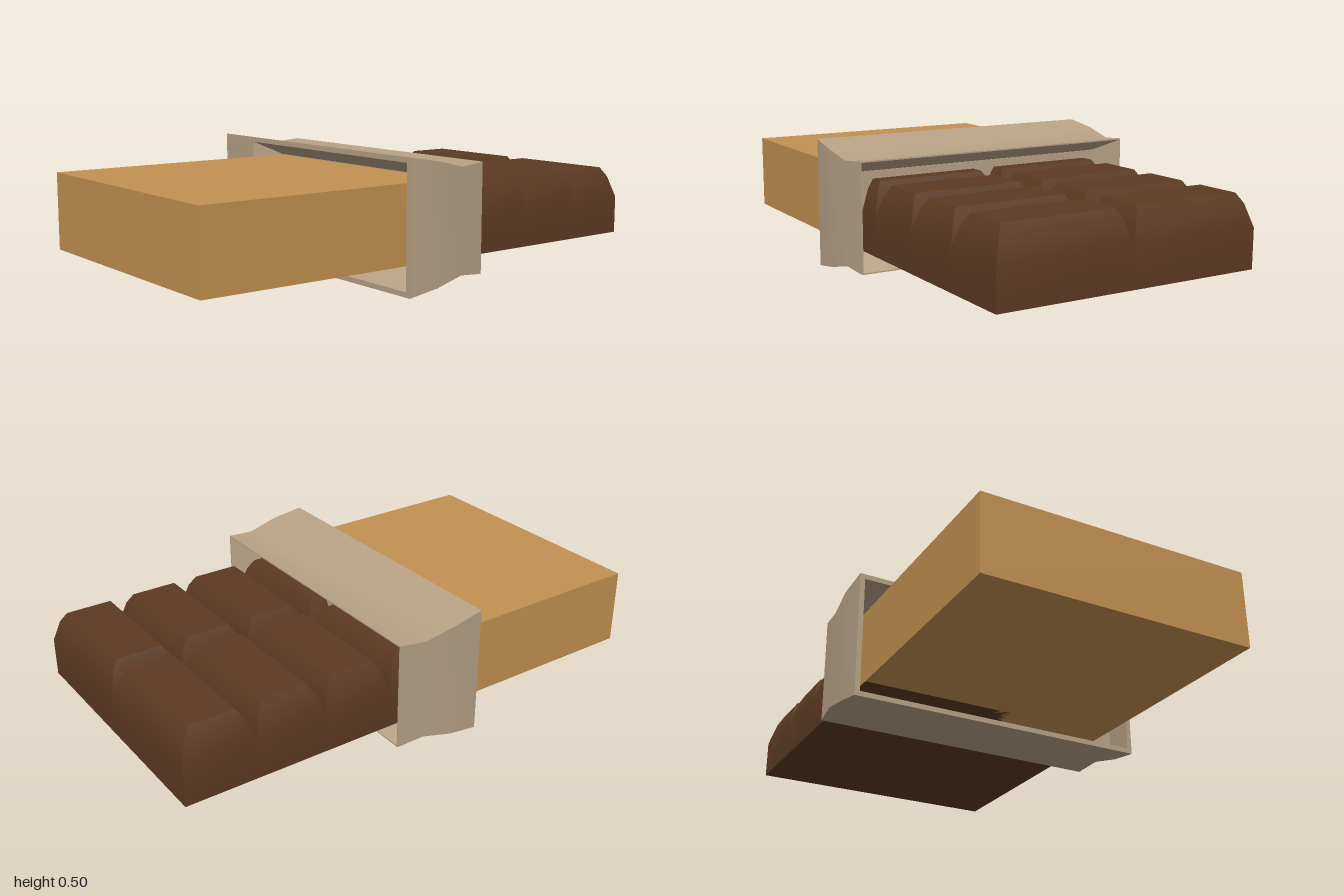
import * as THREE from 'three';
import { toCreasedNormals } from 'three/addons/utils/BufferGeometryUtils.js';

const mat = (name, color) => {
  const m = new THREE.MeshStandardMaterial({ color });
  m.name = name;
  return m;
};

// Skins a row of rectangles [position along axis, half size 1, half size 2].
// axis 'x': halves are y, z.  axis 'y': halves are z, x.
function loft(sections, axis, capped, closed) {
  const ring = ([t, a, b]) => [[-a, -b], [a, -b], [a, b], [-a, b]].map(([p, q]) =>
    axis === 'x' ? [t, p, q] : [q, t, p]);
  const rings = sections.map(ring);
  const out = [];
  const quad = (a, b, c, d) => out.push(...a, ...b, ...c, ...a, ...c, ...d);
  const n = rings.length;
  for (let s = 0; s < (closed ? n : n - 1); s++) {
    const A = rings[s], B = rings[(s + 1) % n];
    for (let i = 0; i < 4; i++) {
      const j = (i + 1) % 4;
      quad(A[i], A[j], B[j], B[i]);
    }
  }
  if (capped) {
    const A = rings[0], B = rings[n - 1];
    quad(A[3], A[2], A[1], A[0]);
    quad(B[0], B[1], B[2], B[3]);
  }
  const g = new THREE.BufferGeometry();
  g.setAttribute('position', new THREE.Float32BufferAttribute(out, 3));
  g.computeVertexNormals();
  return toCreasedNormals(g, 0.5);
}

export function createModel() {
  const model = new THREE.Group();
  model.name = 'chocolateBar';
  const chocolate = mat('chocolate', 0x5c3a22);
  const paper = mat('wrapper paper', 0xc49152);
  const lining = mat('torn lining', 0xb8a286);

  const add = (name, geometry, material, x, y, z, parent = model) => {
    const mesh = new THREE.Mesh(geometry, material);
    mesh.name = name;
    mesh.position.set(x, y, z);
    parent.add(mesh);
    return mesh;
  };

  // Wrapped half of the bar
  const end = 0.04;
  add('wrapper', new THREE.BoxGeometry(1 + end, 0.3, 1.06), paper, (end - 1) / 2, 0.25, 0);

  // Flared lining: outer skin left to right, then inner skin back again
  add('liningCollar', loft([
    [-0.195, 0.25, 0.6], [-0.07, 0.229, 0.607], [0.055, 0.2, 0.597], [0.165, 0.21, 0.587],
    [0.165, 0.205, 0.582], [0.045, 0.152, 0.532], [-0.07, 0.209, 0.587], [-0.195, 0.23, 0.58],
  ], 'x', false, true), lining, 0, 0.25, 0);
  add('liningEnd', new THREE.BoxGeometry(0.009, 0.304, 1.064), lining, end + 0.0045, 0.25, 0);

  // Chocolate squares: three open rows, and one running into the wrapper
  const squares = new THREE.Group();
  squares.name = 'chocolateSquares';
  model.add(squares);
  const w = 0.14, d = 0.265;
  const square = loft([
    [0.1, d, w], [0.25, d, w], [0.335, d - 0.026, w - 0.026], [0.372, d - 0.047, w - 0.05],
  ], 'y', true, false);
  for (let row = 0; row < 4; row++) {
    for (const side of [-1, 1]) {
      add('chocolateSquare', square, chocolate, 0.86 - row * 0.28, 0, side * d, squares);
    }
  }
  return model;
}
